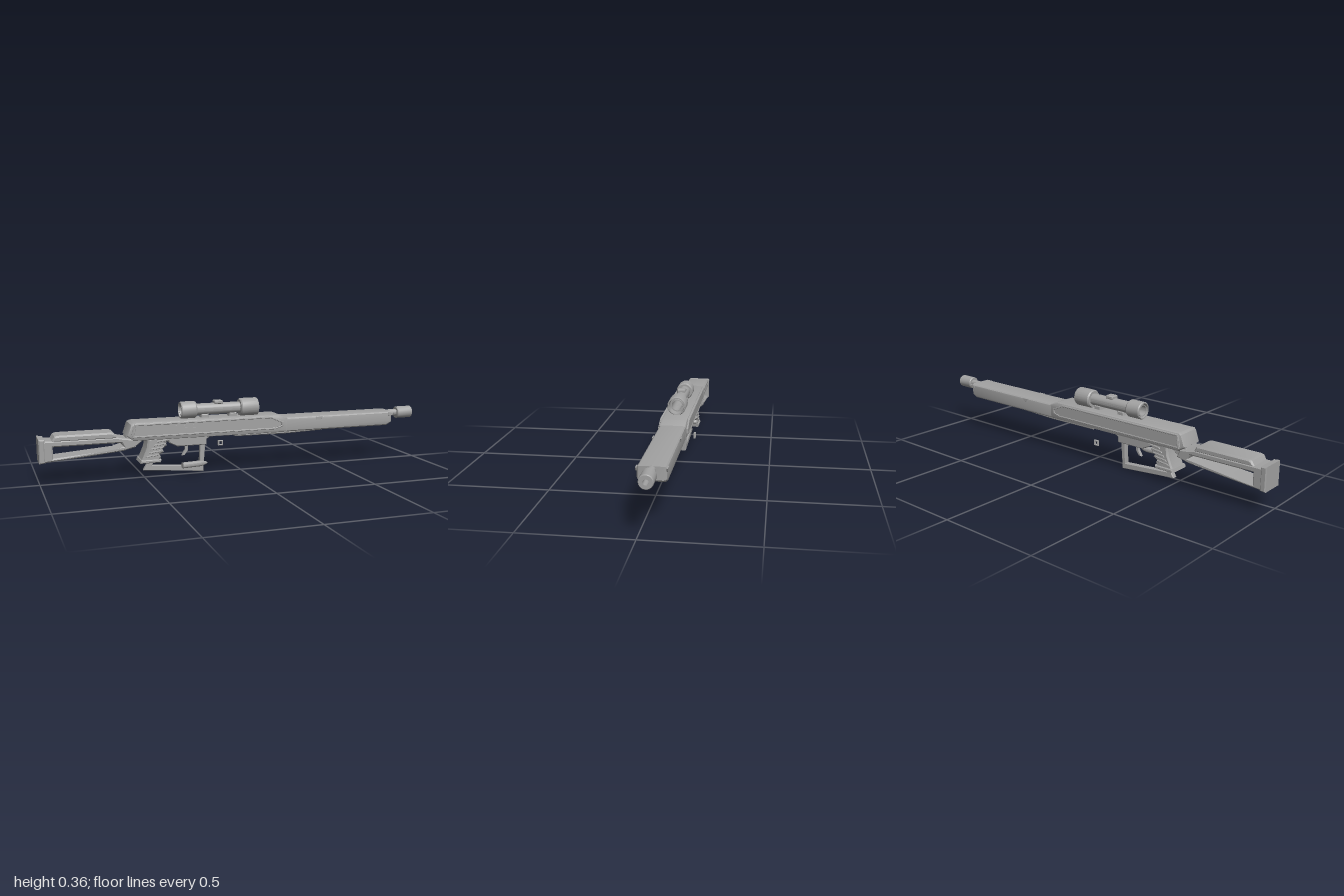
import * as THREE from 'three';
import { toCreasedNormals } from 'three/addons/utils/BufferGeometryUtils.js';

const CZ = -0.04; // centre plane of the rifle
const metal = new THREE.MeshStandardMaterial({ color: 0xa2a2a2 });
metal.name = 'grey metal';

export function createModel() {
  const root = new THREE.Group();
  root.name = 'rifle';

  const add = (name, geo, x = 0, y = 0, z = CZ) => {
    const m = new THREE.Mesh(geo, metal);
    m.name = name;
    m.position.set(x, y, z);
    root.add(m);
    return m;
  };
  // side profile in x/y, extruded symmetrically about z, with bevelled edges
  const slab = (name, pts, width, bevel = 0.004, hole = null, segs = 1, z = CZ) => {
    const v = (a) => a.map((p) => new THREE.Vector2(p[0], p[1]));
    const shape = new THREE.Shape(v(pts));
    if (hole) shape.holes.push(new THREE.Path(v(hole)));
    const geo = new THREE.ExtrudeGeometry(shape, {
      depth: width - 2 * bevel, bevelEnabled: bevel > 0, bevelThickness: bevel,
      bevelSize: bevel, bevelOffset: -bevel, bevelSegments: segs,
    });
    geo.translate(0, 0, -(width - 2 * bevel) / 2);
    return add(name, toCreasedNormals(geo, 0.5), 0, 0, z);
  };
  const box = (name, x0, x1, y0, y1, z0, z1) =>
    add(name, new THREE.BoxGeometry(x1 - x0, y1 - y0, z1 - z0),
      (x0 + x1) / 2, (y0 + y1) / 2, (z0 + z1) / 2);
  // turned part along x, profile as [x, radius]
  const turned = (name, profile, y, segs = 24) => {
    const geo = new THREE.LatheGeometry(profile.map((p) => new THREE.Vector2(p[1], p[0])), segs);
    geo.rotateZ(-Math.PI / 2);
    return add(name, toCreasedNormals(geo, 0.5), 0, y);
  };

  // shoulder stock
  slab('stock', [[-0.98, 0.112], [-0.78, 0.128], [-0.6, 0.145], [-0.54, 0.16], [-0.555, 0.2], [-0.6, 0.205],
    [-0.63, 0.212], [-0.98, 0.214]], 0.116, 0.006,
    [[-0.935, 0.13], [-0.935, 0.185], [-0.61, 0.185], [-0.6, 0.165], [-0.64, 0.152]]);
  slab('buttPad', [[-1, 0.108], [-0.972, 0.111], [-0.972, 0.222], [-1, 0.225]], 0.122, 0.005);
  slab('cheekRest', [[-0.94, 0.21], [-0.63, 0.208], [-0.645, 0.234], [-0.66, 0.238], [-0.91, 0.238],
    [-0.925, 0.234]], 0.118, 0.008);

  // receiver and its side panels
  slab('receiver', [[-0.585, 0.215], [-0.55, 0.19], [0, 0.187], [0.25, 0.187], [0.25, 0.26],
    [0.2, 0.279], [-0.55, 0.279], [-0.565, 0.272]], 0.13, 0.012, null, 2);
  slab('receiverNeck', [[-0.6, 0.155], [-0.54, 0.16], [-0.5, 0.19], [-0.5, 0.23], [-0.58, 0.22]], 0.09);
  for (const s of [1, -1]) {
    const z = CZ + s * 0.066;
    slab('sidePanel', [[-0.565, 0.212], [0.17, 0.212], [0.21, 0.222], [0.215, 0.24], [0.15, 0.268],
      [-0.555, 0.268]], 0.009, 0.003, null, 1, z);
    slab('panelRim', [[-0.56, 0.207], [0.18, 0.207], [0.222, 0.22], [0.222, 0.243], [0.155, 0.273],
      [-0.55, 0.273]], 0.013, 0.002,
      [[-0.55, 0.215], [0.178, 0.215], [0.213, 0.225], [0.213, 0.238], [0.152, 0.265], [-0.542, 0.265]], 1, z);
    // handguard catches
    for (const x of [0.41, 0.83])
      slab('handguardCatch', [[x, 0.242], [x + 0.025, 0.242], [x + 0.035, 0.258], [x, 0.258]],
        0.006, 0.001, null, 1, CZ + s * 0.064);
  }
  box('boltRail', -0.37, -0.21, 0.247, 0.258, 0.02, 0.032);
  box('boltHandle', -0.3, -0.225, 0.23, 0.243, 0.02, 0.035);
  box('boltKnob', -0.35, -0.3, 0.226, 0.256, 0.02, 0.034);

  // handguard, underside plate, barrel and muzzle
  slab('handguard', [[0.23, 0.187], [0.825, 0.187], [0.855, 0.203], [0.855, 0.262], [0.23, 0.262]],
    0.128, 0.015, null, 3);
  slab('undersidePlate', [[-0.03, 0.195], [-0.03, 0.179], [0.25, 0.177], [0.45, 0.184], [0.45, 0.195]], 0.1);
  turned('barrel', [[0.84, 0], [0.84, 0.018], [0.92, 0.018]], 0.245);
  turned('muzzleBrake', [[0.95, 0], [0.91, 0.018], [0.91, 0.029], [0.914, 0.032], [0.996, 0.032],
    [1, 0.029], [1, 0.0125], [0.94, 0.0125], [0.94, 0]], 0.245, 16);

  // scope: hollow tube, two bells, cross wires, mounts and turret
  turned('scopeTube', [[-0.3, 0.025], [-0.3, 0.029], [0.08, 0.029], [0.08, 0.025], [-0.3, 0.025]], 0.32);
  turned('scopeRearBell', [[-0.228, 0.029], [-0.305, 0.035], [-0.305, 0.04], [-0.3, 0.043], [-0.232, 0.043],
    [-0.225, 0.038], [-0.225, 0.028]], 0.32);
  turned('scopeFrontBell', [[0.005, 0.028], [0.005, 0.041], [0.012, 0.046], [0.094, 0.046], [0.1, 0.043],
    [0.1, 0.039], [0.06, 0.036], [0.06, 0.028]], 0.32);
  box('crossWireVertical', -0.02, -0.019, 0.295, 0.345, CZ - 0.0006, CZ + 0.0006);
  box('crossWireHorizontal', -0.02, -0.019, 0.3194, 0.3206, CZ - 0.025, CZ + 0.025);
  for (const x of [-0.18, -0.033])
    slab('scopeMount', [[x - 0.022, 0.272], [x + 0.022, 0.272], [x + 0.018, 0.297], [x - 0.018, 0.297]], 0.044);
  slab('scopeTurret', [[-0.13, 0.344], [-0.085, 0.344], [-0.085, 0.358], [-0.09, 0.362], [-0.125, 0.362],
    [-0.13, 0.358]], 0.042, 0.004);

  // pistol grip with stepped front, slanted ribs and a base lip
  slab('grip', [[-0.515, 0.08], [-0.425, 0.08], [-0.415, 0.1], [-0.422, 0.112], [-0.4, 0.125], [-0.408, 0.14],
    [-0.385, 0.155], [-0.39, 0.168], [-0.365, 0.195], [-0.48, 0.195], [-0.485, 0.15]], 0.1, 0.008);
  slab('gripBase', [[-0.52, 0.074], [-0.418, 0.074], [-0.415, 0.09], [-0.515, 0.09]], 0.112);
  for (let i = 0; i < 5; i++) {
    const x = -0.494 + i * 0.013, y = 0.102 + i * 0.018;
    slab('gripRib', [[x, y], [x + 0.062, y + 0.006], [x + 0.066, y + 0.014], [x + 0.004, y + 0.008]], 0.108, 0.002);
  }

  // trigger housing, open guard and trigger
  slab('triggerHousing', [[-0.37, 0.165], [-0.33, 0.145], [-0.18, 0.145], [-0.18, 0.172], [-0.15, 0.192],
    [-0.38, 0.192]], 0.08);
  slab('triggerGuard', [[-0.497, 0.03], [-0.19, 0.004], [-0.178, 0.15], [-0.205, 0.15], [-0.208, 0.034],
    [-0.455, 0.052], [-0.44, 0.076], [-0.47, 0.076]], 0.027, 0.003);
  slab('trigger', [[-0.3, 0.09], [-0.285, 0.092], [-0.268, 0.115], [-0.268, 0.15], [-0.283, 0.15],
    [-0.283, 0.12]], 0.016, 0.002);

  // loose cartridge lying in front of the guard
  const bullet = turned('cartridge', [[-0.069, 0], [-0.069, 0.0145], [0.02, 0.0145], [0.04, 0.0125],
    [0.058, 0.007], [0.068, 0]], 0.073, 16);
  bullet.position.set(-0.267, 0.073, 0.095);
  bullet.rotation.y = 0.17;

  // small separate ring behind the receiver
  slab('looseRing', [[-0.085, 0.112], [-0.058, 0.112], [-0.058, 0.14], [-0.085, 0.14]], 0.011, 0.002,
    [[-0.078, 0.119], [-0.078, 0.133], [-0.065, 0.133], [-0.065, 0.119]], 1, -0.112);

  return root;
}
